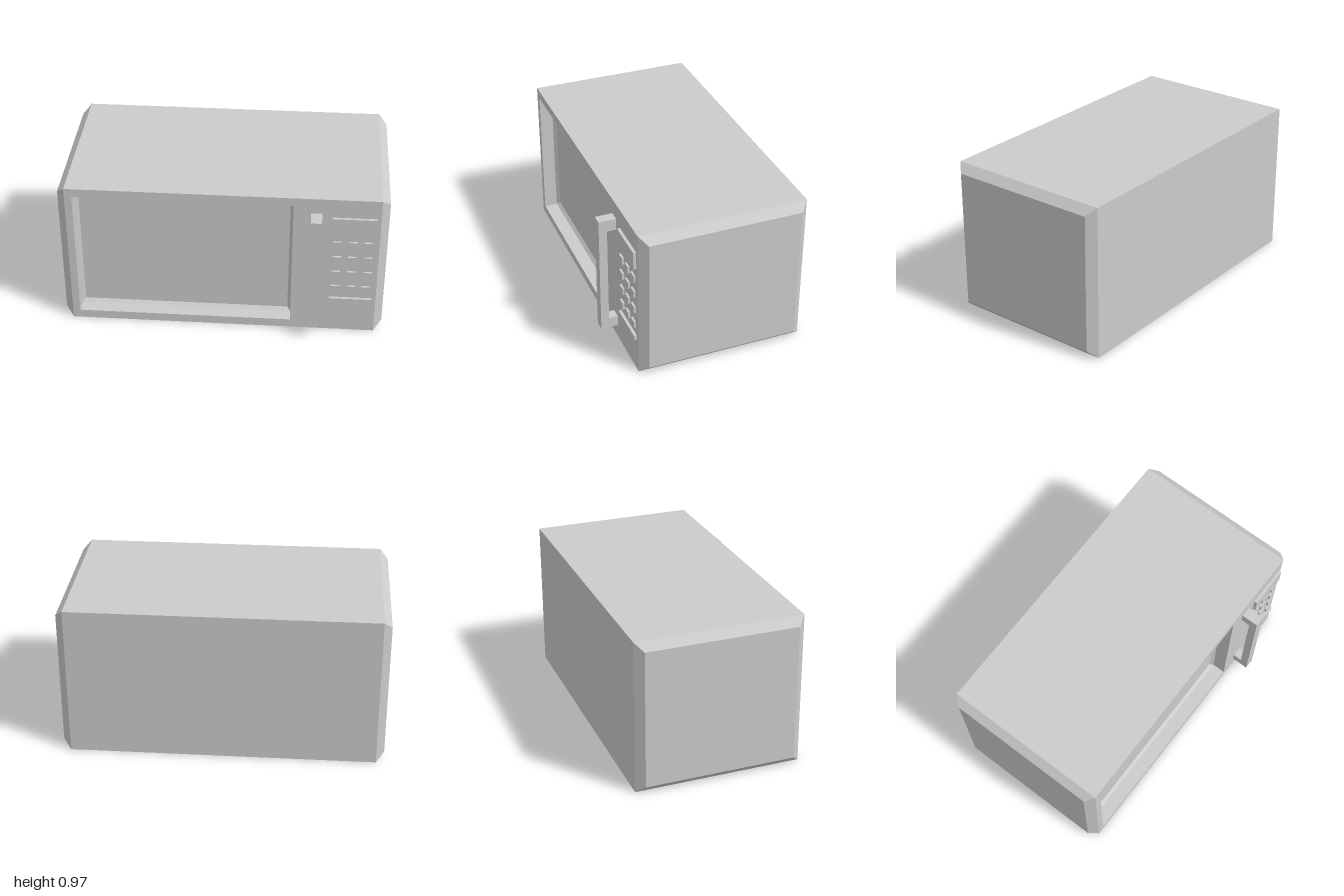
import * as THREE from 'three';

const FRONT = 0.47, BACK = -0.577, TOP = 0.967, BEVEL = 0.05;
const material = new THREE.MeshStandardMaterial({ color: 0xcccccc, flatShading: true });

function add(parent, name, geometry) {
  const mesh = new THREE.Mesh(geometry, material);
  mesh.name = name;
  parent.add(mesh);
  return mesh;
}

// Box given by its extents
function addBox(parent, name, x0, x1, y0, y1, z0, z1) {
  const mesh = add(parent, name, new THREE.BoxGeometry(x1 - x0, y1 - y0, z1 - z0));
  mesh.position.set((x0 + x1) / 2, (y0 + y1) / 2, (z0 + z1) / 2);
}

// Flat-faced skin through four-cornered rings; skip(segment, side) leaves a gap
function loft(rings, capStart, capEnd, skip = () => false) {
  const points = [];
  const quad = (a, b, c, d) => points.push(...a, ...b, ...c, ...a, ...c, ...d);
  for (let i = 0; i < rings.length - 1; i++) {
    const a = rings[i], b = rings[i + 1];
    for (let k = 0; k < 4; k++) {
      const n = (k + 1) % 4;
      if (!skip(i, k)) quad(a[k], a[n], b[n], b[k]);
    }
  }
  if (capStart) quad(...[...rings[0]].reverse());
  if (capEnd) quad(...rings[rings.length - 1]);
  const geometry = new THREE.BufferGeometry();
  geometry.setAttribute('position', new THREE.Float32BufferAttribute(points, 3));
  geometry.computeVertexNormals();
  return geometry;
}

// Rectangle across x, inset from the body outline
const bodyRing = (x, inset) => [
  [x, inset, FRONT - inset], [x, inset, BACK + inset],
  [x, TOP - inset, BACK + inset], [x, TOP - inset, FRONT - inset],
];

// Rectangle of the window opening, shrunk by inset
const windowRing = (z, inset) => {
  const x0 = -0.905 + inset, x1 = 0.426 - inset, y0 = 0.056 + inset, y1 = 0.912 - inset;
  return [[x0, y0, z], [x1, y0, z], [x1, y1, z], [x0, y1, z]];
};

const toShape = (corners, Type = THREE.Shape) => new Type(corners.map(([x, y]) => new THREE.Vector2(x, y)));

export function createModel() {
  const model = new THREE.Group();
  model.name = 'microwave';

  // Casing with bevelled ends, open at the front
  const w = 1 - BEVEL;
  add(model, 'casing', loft(
    [bodyRing(-1, BEVEL), bodyRing(-w, 0), bodyRing(w, 0), bodyRing(1, BEVEL)],
    true, true, (segment, side) => segment === 1 && side === 3));

  // Front panel with the window opening
  const panel = toShape([[-w, 0], [w, 0], [w, TOP], [-w, TOP]]);
  panel.holes.push(toShape(windowRing(0, 0).reverse(), THREE.Path));
  add(model, 'frontPanel', new THREE.ShapeGeometry(panel)).position.z = FRONT;

  // Recessed window: straight walls, a small chamfer, then the pane
  add(model, 'window', loft(
    [windowRing(FRONT, 0), windowRing(FRONT - 0.085, 0), windowRing(FRONT - 0.105, 0.02)],
    false, true));

  // Bracket handle: side profile (z, y) extruded across x
  const profile = toShape([
    [FRONT, 0.091], [0.578, 0.091], [0.578, 0.867], [FRONT, 0.867],
    [FRONT, 0.792], [0.527, 0.792], [0.527, 0.158], [FRONT, 0.158],
  ]);
  const handle = new THREE.ExtrudeGeometry(profile, { depth: 0.066, bevelEnabled: false });
  handle.rotateY(-Math.PI / 2).scale(1, 1, 1);
  add(model, 'handle', handle).position.x = 0.597;

  // Control panel: display, keypad and start bar
  const controls = new THREE.Group();
  controls.name = 'controls';
  model.add(controls);
  addBox(controls, 'display', 0.661, 0.926, 0.729, 0.843, FRONT, 0.488);
  addBox(controls, 'startBar', 0.661, 0.926, 0.224, 0.253, FRONT, 0.488);
  for (let row = 0; row < 4; row++) {
    for (let col = 0; col < 3; col++) {
      const x = 0.697 + col * 0.0945, y = 0.65 - row * 0.109;
      addBox(controls, 'button', x - 0.026, x + 0.026, y - 0.022, y + 0.022, FRONT, 0.483);
    }
  }
  return model;
}
